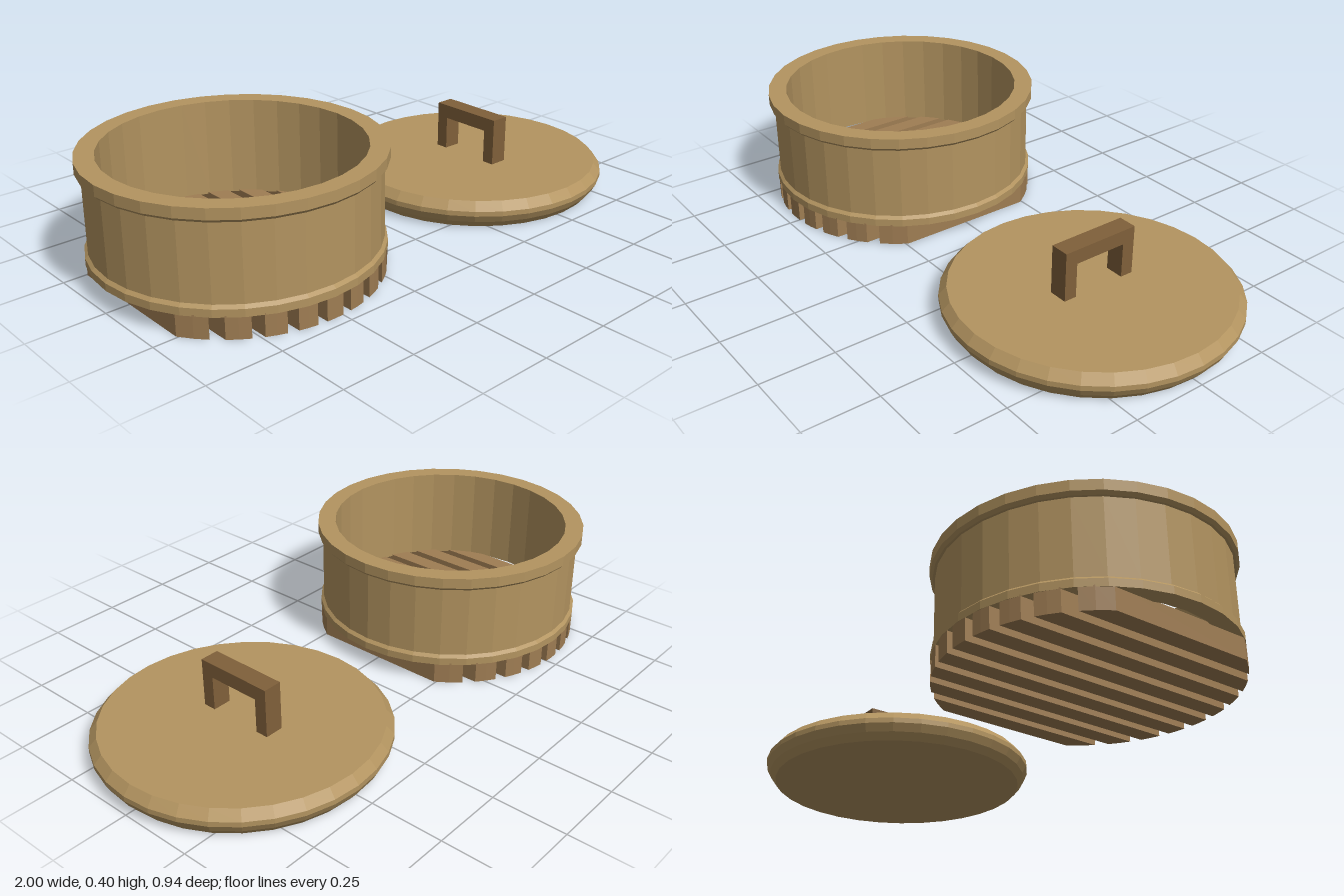
import * as THREE from 'three';

const SIDES = 32;
const mat = (color) => new THREE.MeshStandardMaterial({ color, flatShading: true, roughness: 0.8 });

function mesh(name, geometry, material) {
  const m = new THREE.Mesh(geometry, material);
  m.name = name;
  return m;
}

// Faceted turned part from [radius, y] pairs
function turned(points) {
  return new THREE.LatheGeometry(points.map(([r, y]) => new THREE.Vector2(r, y)), SIDES);
}

// Slat running along z, its ends trimmed to a circle of radius r
function slatGeometry(offset, width, r, height) {
  const shape = new THREE.Shape();
  const xs = [-0.5, 0, 0.5].map((t) => offset + t * width);
  const end = (x) => Math.sqrt(r * r - x * x);
  shape.setFromPoints([
    ...xs.map((x) => new THREE.Vector2(x, -end(x))),
    ...xs.reverse().map((x) => new THREE.Vector2(x, end(x))),
  ]);
  const g = new THREE.ExtrudeGeometry(shape, { depth: height, bevelEnabled: false });
  return g.rotateX(-Math.PI / 2);
}

export function createModel() {
  const model = new THREE.Group();
  model.name = 'steamerBasketAndLid';
  const cane = mat(0xb39460);
  const slatWood = mat(0x9f7d53);
  const handleWood = mat(0x80603a);

  // Basket: open ring with a top rim and a lower band
  const basket = new THREE.Group();
  basket.name = 'basket';
  basket.position.x = -0.528;
  basket.add(mesh('basketWall', turned([
    [0.41, 0.07], [0.465, 0.07], [0.465, 0.095], [0.455, 0.105], [0.455, 0.355],
    [0.463, 0.355], [0.472, 0.365], [0.472, 0.4], [0.41, 0.4], [0.41, 0.07],
  ]), cane));

  // Slatted floor
  const floor = new THREE.Group();
  floor.name = 'slattedFloor';
  for (let i = -4; i <= 4; i++) {
    floor.add(mesh('slat', slatGeometry(i * 0.091, 0.059, 0.463, 0.075), slatWood));
  }
  basket.add(floor);

  // Lid: solid disc with a rounded edge
  const lid = new THREE.Group();
  lid.name = 'lid';
  lid.position.x = 0.527;
  lid.add(mesh('lidDisc', turned([
    [0, 0], [0.438, 0], [0.458, 0.024], [0.472, 0.05], [0.472, 0.067], [0.447, 0.096], [0, 0.096],
  ]), cane));

  // Bridge handle, extruded across the lid
  const arch = new THREE.Shape();
  arch.setFromPoints([
    [-0.136, 0.09], [-0.092, 0.09], [-0.092, 0.213], [0.092, 0.213],
    [0.092, 0.09], [0.136, 0.09], [0.136, 0.262], [-0.136, 0.262],
  ].map(([x, y]) => new THREE.Vector2(x, y)));
  const handle = new THREE.ExtrudeGeometry(arch, { depth: 0.064, bevelEnabled: false });
  handle.translate(0, 0, -0.032).rotateY(Math.PI / 2);
  lid.add(mesh('lidHandle', handle, handleWood));

  model.add(basket, lid);
  return model;
}
